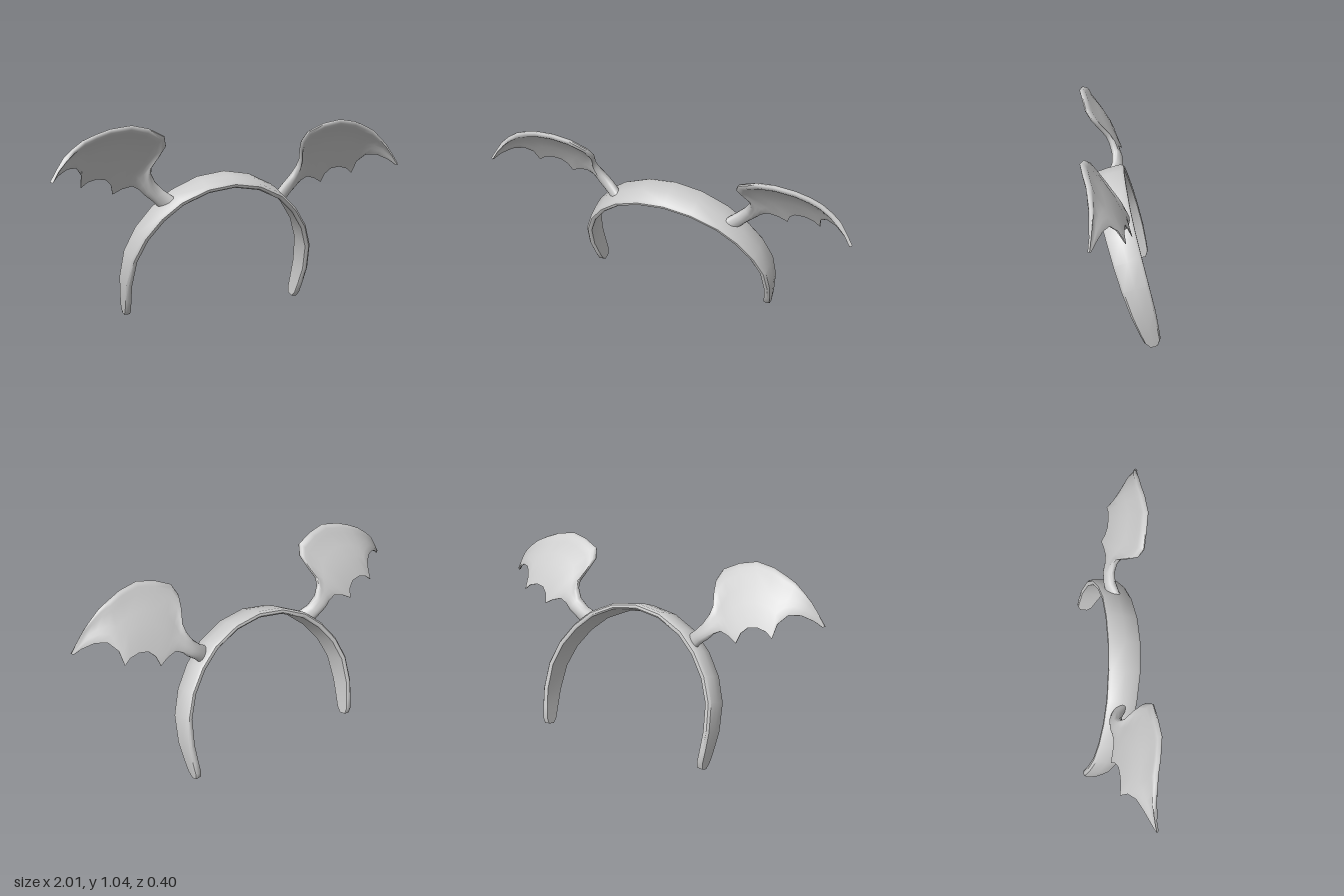
import * as THREE from 'three';
import { toCreasedNormals } from 'three/addons/utils/BufferGeometryUtils.js';

const material = new THREE.MeshStandardMaterial({ color: 0xcccccc });

// Skins a row of closed rings, caps both ends and makes the faces point outwards
function loft(rings, crease) {
  const n = rings[0].length;
  const points = rings.flat();
  const index = [];
  for (let i = 0; i < rings.length - 1; i++) {
    for (let j = 0; j < n; j++) {
      const a = i * n + j, b = i * n + (j + 1) % n;
      index.push(a, b, a + n, b, b + n, a + n);
    }
  }
  const last = (rings.length - 1) * n;
  for (let j = 1; j < n - 1; j++) {
    index.push(0, j + 1, j, last, last + j, last + j + 1);
  }
  let volume = 0;
  for (let i = 0; i < index.length; i += 3) {
    const [a, b, c] = [0, 1, 2].map((k) => points[index[i + k]]);
    volume += a.dot(b.clone().cross(c));
  }
  if (volume < 0) index.reverse();
  const geometry = new THREE.BufferGeometry().setFromPoints(points);
  geometry.setIndex(index);
  return toCreasedNormals(geometry, crease);
}

// Headband: half of the arch as [x, y, strap width], mirrored, leaning forwards
function headbandGeometry() {
  const half = [
    [0, 0.735, 0.175], [0.15, 0.713, 0.172], [0.29, 0.65, 0.162], [0.39, 0.565, 0.155],
    [0.47, 0.46, 0.15], [0.52, 0.34, 0.142], [0.533, 0.2, 0.128], [0.525, 0.1, 0.105],
    [0.518, 0.04, 0.088], [0.514, 0.01, 0.045],
  ];
  const path = [...half.slice(1).reverse().map(([x, y, w]) => [-x, y, w]), ...half];
  const lean = 0.3, sin = Math.sin(lean), cos = Math.cos(lean);
  // Strap section: flat inside, rounded outside [across, outwards]
  const section = [
    [-0.46, -0.017], [0.46, -0.017], [0.5, -0.01], [0.5, 0.004],
    [0.42, 0.015], [0, 0.018], [-0.42, 0.015], [-0.5, 0.004], [-0.5, -0.01],
  ];
  const rings = path.map(([x, y, width], i) => {
    const p = path[Math.max(i - 1, 0)], q = path[Math.min(i + 1, path.length - 1)];
    const tx = q[0] - p[0], ty = (q[1] - p[1]) / cos, len = Math.hypot(tx, ty);
    const nx = -ty / len, ny = tx / len;
    return section.map(([across, out]) => new THREE.Vector3(
      x + out * nx,
      y + out * ny * cos - across * width * sin,
      -0.163 + 0.3 * y + out * ny * sin + across * width * cos,
    ));
  });
  return loft(rings, 0.75);
}

// Depth of the cupped wing surface
function wingDepth(x, y) {
  const dx = Math.abs(x - 0.62), dy = y - 0.67;
  return -0.04 + 0.38 * dy + 0.75 * dy * dy + 3 * dx ** 3;
}

// Wing: ribs from stalk to tip, as [upper x, upper y, lower x, lower y]
const ribs = [
  [0.30, 0.64, 0.37, 0.595], [0.36, 0.685, 0.41, 0.635], [0.405, 0.73, 0.45, 0.665],
  [0.433, 0.78, 0.48, 0.695], [0.437, 0.82, 0.52, 0.715], [0.41, 0.88, 0.575, 0.70],
  [0.395, 0.93, 0.62, 0.675], [0.415, 0.98, 0.635, 0.725], [0.50, 1.02, 0.665, 0.755],
  [0.595, 1.04, 0.715, 0.763], [0.70, 1.025, 0.765, 0.75], [0.77, 1.0, 0.80, 0.722],
  [0.83, 0.972, 0.808, 0.79], [0.885, 0.928, 0.845, 0.832], [0.925, 0.888, 0.90, 0.832],
  [0.965, 0.833, 0.955, 0.805], [0.998, 0.778, 0.99, 0.775],
];
// Half thickness along a rib: a rounded lip on top, then a thin membrane
const lip = [[0, 0.3], [0.04, 1], [0.09, 1], [0.17, 0.45], [0.4, 0.4], [0.6, 0.4], [0.82, 0.4], [1, 0.15]];
const stalk = [[0, 0.25], [0.1, 0.6], [0.25, 0.9], [0.42, 1], [0.58, 1], [0.75, 0.9], [0.9, 0.6], [1, 0.25]];

function wingGeometry(side) {
  const rings = ribs.map(([ux, uy, lx, ly], i) => {
    const blend = THREE.MathUtils.smoothstep(i, 1, 5);
    const thick = THREE.MathUtils.lerp(0.028, i > 14 ? 0.008 : 0.013, blend);
    const sheet = (face) => lip.map((row, k) => {
      const v = THREE.MathUtils.lerp(stalk[k][0], row[0], blend);
      const h = thick * THREE.MathUtils.lerp(stalk[k][1], row[1], blend) * face;
      const x = ux + (lx - ux) * v, y = uy + (ly - uy) * v, e = 0.001;
      const normal = new THREE.Vector3(
        -(wingDepth(x + e, y) - wingDepth(x, y)) / e,
        -(wingDepth(x, y + e) - wingDepth(x, y)) / e, 1).normalize();
      const p = new THREE.Vector3(x, y, wingDepth(x, y)).addScaledVector(normal, h);
      p.x *= side;
      return p;
    });
    return [...sheet(1), ...sheet(-1).reverse()];
  });
  return loft(rings, 1.1);
}

export function createModel() {
  const group = new THREE.Group();
  group.name = 'wingedHeadband';
  const add = (name, geometry) => {
    const mesh = new THREE.Mesh(geometry, material);
    mesh.name = name;
    group.add(mesh);
  };
  add('headband', headbandGeometry());
  add('leftWing', wingGeometry(1));
  add('rightWing', wingGeometry(-1));
  return group;
}
